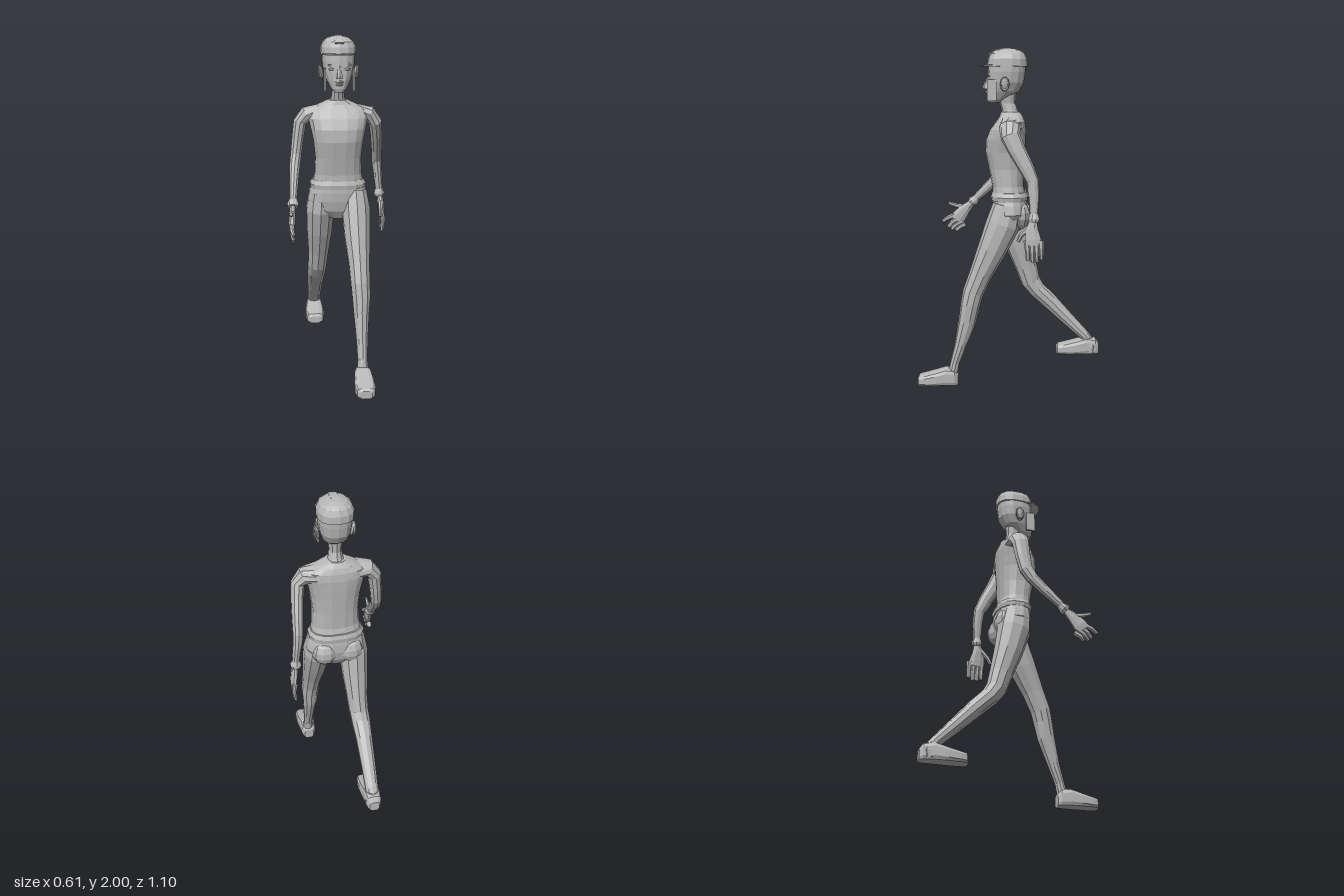
import * as THREE from 'three';

const grey = new THREE.MeshStandardMaterial({ color: 0xb8b8b8, flatShading: true });
grey.name = 'plain grey';
const X = new THREE.Vector3(1, 0, 0), Y = new THREE.Vector3(0, 1, 0), Z = new THREE.Vector3(0, 0, 1);

// Skin over cross-sections [x, y, z, half width, half depth]; power < 1 makes them squarer.
// With an axis the sections stay parallel, otherwise they turn with the path.
function loft(name, sections, { axis = null, sides = 10, power = 1 } = {}) {
  const centers = sections.map(s => new THREE.Vector3(s[0], s[1], s[2]));
  const last = centers.length - 1, pos = [], idx = [];
  const bend = v => Math.sign(v) * Math.pow(Math.abs(v), power);
  centers.forEach((c, i) => {
    const t = axis ? axis.clone()
      : centers[Math.min(i + 1, last)].clone().sub(centers[Math.max(i - 1, 0)]).normalize();
    const side = X.clone().addScaledVector(t, -X.dot(t)).normalize();
    const depth = t.clone().cross(side);
    for (let k = 0; k < sides; k++) {
      const a = (k + 0.5) / sides * Math.PI * 2;
      const p = c.clone().addScaledVector(side, bend(Math.cos(a)) * sections[i][3])
        .addScaledVector(depth, bend(Math.sin(a)) * sections[i][4]);
      pos.push(p.x, p.y, p.z);
    }
  });
  const start = pos.length / 3;
  pos.push(...centers[0].toArray(), ...centers[last].toArray());
  for (let k = 0; k < sides; k++) {
    const n = (k + 1) % sides;
    for (let i = 0; i < last; i++) {
      const a = i * sides + k, b = i * sides + n;
      idx.push(a, b, b + sides, a, b + sides, a + sides);
    }
    idx.push(start, n, k, start + 1, last * sides + k, last * sides + n);
  }
  const g = new THREE.BufferGeometry();
  g.setAttribute('position', new THREE.Float32BufferAttribute(pos, 3));
  g.setIndex(idx);
  return mesh(name, g);
}

function mesh(name, geometry, x = 0, y = 0, z = 0) {
  const flat = geometry.index ? geometry.toNonIndexed() : geometry;
  flat.computeVertexNormals();
  const m = new THREE.Mesh(flat, grey);
  m.name = name;
  m.position.set(x, y, z);
  return m;
}

function part(name, ...children) {
  const g = new THREE.Group();
  g.name = name;
  g.add(...children);
  return g;
}

// Tapered finger between points, thin across x
const finger = (name, points, r = 0.015) => loft(name,
  points.map((p, i) => [...p, r * (1 - 0.22 * i), r * 1.15 * (1 - 0.2 * i)]), { sides: 6 });

function buildHead() {
  const head = part('head',
    loft('neck', [[0, 1.6, -0.01, 0.06, 0.06], [0, 1.64, 0, 0.042, 0.047], [0, 1.68, 0.012, 0.036, 0.046],
      [0, 1.75, 0.015, 0.045, 0.055]], { axis: Y }),
    loft('skull', [[0, 1.685, 0.095, 0.026, 0.03], [0, 1.705, 0.075, 0.046, 0.056], [0, 1.75, 0.04, 0.07, 0.093],
      [0, 1.8, 0.024, 0.087, 0.106], [0, 1.86, 0.018, 0.095, 0.109], [0, 1.92, 0.014, 0.095, 0.108]],
      { axis: Y, sides: 14, power: 0.85 }),
    loft('nose', [[0, 1.765, 0.137, 0.02, 0.02], [0, 1.78, 0.138, 0.017, 0.021], [0, 1.835, 0.118, 0.009, 0.012]],
      { axis: Y, sides: 6 }),
    loft('upperLip', [[-0.03, 1.742, 0.118, 0.005, 0.006], [0, 1.746, 0.134, 0.008, 0.01], [0.03, 1.742, 0.118, 0.005, 0.006]]
      .map(s => [s[0], s[1], s[2], s[4], s[4]]), { axis: new THREE.Vector3(0.999, 0.04, 0).normalize(), sides: 6 }),
    mesh('lowerLip', new THREE.SphereGeometry(1, 8, 5).scale(0.022, 0.008, 0.01), 0, 1.73, 0.127),
    // Cap with brim and centre strip
    loft('cap', [[0, 1.893, 0.015, 0.102, 0.118], [0, 1.935, 0.013, 0.101, 0.115], [0, 1.965, 0.013, 0.087, 0.103],
      [0, 1.985, 0.011, 0.062, 0.077], [0, 1.995, 0.008, 0.03, 0.043]], { axis: Y, sides: 14, power: 0.82 }),
    loft('capStrip', [[0, 1.955, 0.117, 0.026, 0.012], [0, 1.976, 0.09, 0.026, 0.012], [0, 1.99, 0.05, 0.026, 0.01],
      [0, 1.992, 0, 0.024, 0.008], [0, 1.98, -0.05, 0.022, 0.008]], { sides: 8, power: 0.5 }));
  const outline = new THREE.Shape([[-0.1, 0.04], [0.1, 0.04], [0.084, 0.13], [0.056, 0.168], [0.02, 0.18],
    [-0.02, 0.18], [-0.056, 0.168], [-0.084, 0.13]].map(p => new THREE.Vector2(...p)));
  head.add(mesh('brim', new THREE.ExtrudeGeometry(outline, { depth: 0.007, bevelEnabled: false })
    .rotateX(Math.PI / 2), 0, 1.902, 0));
  for (const s of [-1, 1]) {
    const ear = mesh('ear', new THREE.SphereGeometry(1, 8, 6).scale(0.014, 0.042, 0.026), s * 0.099, 1.79, 0.026);
    ear.rotation.z = -s * 0.18;
    const rim = mesh('earRim', new THREE.TorusGeometry(0.026, 0.006, 5, 10).rotateY(Math.PI / 2).scale(1, 1.35, 0.85),
      s * 0.11, 1.792, 0.024);
    head.add(ear, rim,
      mesh('cheekPlate', new THREE.BoxGeometry(0.012, 0.125, 0.055), s * 0.082, 1.757, 0.1),
      mesh('eye', new THREE.SphereGeometry(1, 8, 5).scale(0.021, 0.008, 0.008), s * 0.042, 1.815, 0.118),
      mesh('brow', new THREE.BoxGeometry(0.045, 0.009, 0.012), s * 0.042, 1.838, 0.117));
  }
  return head;
}

function buildBody() {
  const body = part('body',
    loft('torso', [[0, 1.14, 0.002, 0.152, 0.1], [0, 1.2, 0.01, 0.14, 0.093], [0, 1.3, 0.018, 0.136, 0.104],
      [0, 1.4, 0.025, 0.147, 0.117], [0, 1.47, 0.021, 0.162, 0.117], [0, 1.53, 0.008, 0.175, 0.106],
      [0, 1.575, -0.006, 0.168, 0.086], [0, 1.605, -0.01, 0.115, 0.07], [0, 1.632, -0.004, 0.055, 0.056]],
      { axis: Y, sides: 16, power: 0.8 }),
    loft('hem', [[0, 1.115, 0, 0.163, 0.108], [0, 1.14, 0, 0.167, 0.111], [0, 1.165, 0, 0.152, 0.102]],
      { axis: Y, sides: 16, power: 0.8 }),
    loft('pelvis', [[0, 0.93, -0.005, 0.06, 0.06], [0, 0.98, -0.005, 0.15, 0.09], [0, 1.04, -0.005, 0.182, 0.103],
      [0, 1.09, -0.002, 0.172, 0.104], [0, 1.14, 0, 0.153, 0.1]], { axis: Y, sides: 16, power: 0.85 }));
  for (const s of [-1, 1])
    body.add(mesh('buttock', new THREE.SphereGeometry(1, 10, 7).scale(0.078, 0.085, 0.065), s * 0.077, 1.03, -0.06));
  return body;
}

// Foot pointing forward, with its heel at z and its sole at y
function foot(x, y, z, length) {
  const profile = [[0, 0.03, 0.035], [0.08, 0.045, 0.05], [0.3, 0.052, 0.055], [0.55, 0.059, 0.045],
    [0.82, 0.06, 0.035], [0.96, 0.052, 0.031], [1, 0.036, 0.024]];
  return loft('foot', profile.map(([f, w, h]) => [x, y + h, z + f * length, w, h]),
    { axis: Z, sides: 12, power: 0.55 });
}

function buildLegs() {
  return part('legs',
    part('leftLeg',
      loft('trouserLeg', [[0.1, 1.09, 0.01, 0.072, 0.085], [0.105, 0.98, 0.035, 0.086, 0.1], [0.108, 0.83, 0.1, 0.078, 0.086],
        [0.113, 0.68, 0.168, 0.063, 0.067], [0.116, 0.57, 0.213, 0.058, 0.062], [0.12, 0.5, 0.229, 0.056, 0.058],
        [0.119, 0.4, 0.248, 0.047, 0.053], [0.12, 0.25, 0.29, 0.035, 0.036], [0.12, 0.14, 0.325, 0.03, 0.028],
        [0.12, 0.07, 0.34, 0.036, 0.03]]),
      foot(0.118, 0, 0.304, 0.245)),
    part('rightLeg',
      loft('trouserLeg', [[-0.1, 1.09, 0, 0.072, 0.085], [-0.105, 0.98, -0.015, 0.086, 0.1], [-0.108, 0.83, -0.052, 0.078, 0.085],
        [-0.112, 0.69, -0.095, 0.064, 0.068], [-0.118, 0.59, -0.125, 0.06, 0.06], [-0.122, 0.535, -0.165, 0.059, 0.053],
        [-0.124, 0.46, -0.245, 0.052, 0.05], [-0.124, 0.35, -0.355, 0.046, 0.041], [-0.122, 0.25, -0.458, 0.041, 0.032],
        [-0.122, 0.19, -0.5, 0.038, 0.035]]),
      loft('heel', [[-0.122, 0.15, -0.495, 0.05, 0.045], [-0.122, 0.19, -0.5, 0.052, 0.046], [-0.122, 0.235, -0.48, 0.04, 0.032]],
        { axis: Y }),
      foot(-0.122, 0.13, -0.55, 0.266)));
}

function buildArms() {
  const left = part('leftArm',
    loft('sleeve', [[0.11, 1.558, -0.012, 0.045, 0.07], [0.185, 1.545, -0.008, 0.048, 0.062], [0.22, 1.5, -0.012, 0.04, 0.056],
      [0.232, 1.42, -0.05, 0.036, 0.05], [0.243, 1.32, -0.105, 0.033, 0.043], [0.248, 1.245, -0.14, 0.031, 0.036],
      [0.257, 1.16, -0.147, 0.027, 0.032], [0.267, 1.06, -0.147, 0.022, 0.024]]),
    loft('cuff', [[0.266, 1.065, -0.147, 0.023, 0.024], [0.268, 1.035, -0.147, 0.034, 0.033], [0.27, 1.018, -0.146, 0.03, 0.028]]),
    loft('palm', [[0.27, 1.035, -0.146, 0.016, 0.019], [0.275, 0.98, -0.137, 0.021, 0.037], [0.283, 0.92, -0.142, 0.02, 0.05],
      [0.286, 0.885, -0.148, 0.017, 0.05]], { sides: 8 }),
    finger('thumb', [[0.272, 0.985, -0.115], [0.268, 0.94, -0.073], [0.266, 0.905, -0.058]]));
  const right = part('rightArm',
    loft('sleeve', [[-0.11, 1.558, -0.012, 0.045, 0.07], [-0.185, 1.545, -0.008, 0.048, 0.062], [-0.222, 1.5, -0.008, 0.04, 0.054],
      [-0.236, 1.4, 0.002, 0.036, 0.048], [-0.247, 1.31, 0.018, 0.034, 0.042], [-0.256, 1.25, 0.055, 0.032, 0.036],
      [-0.264, 1.18, 0.125, 0.028, 0.032], [-0.273, 1.085, 0.225, 0.022, 0.023]]),
    loft('cuff', [[-0.272, 1.09, 0.218, 0.023, 0.023], [-0.274, 1.068, 0.24, 0.035, 0.033], [-0.275, 1.056, 0.253, 0.03, 0.028]]),
    loft('palm', [[-0.275, 1.065, 0.24, 0.016, 0.018], [-0.28, 1.02, 0.288, 0.02, 0.035], [-0.284, 0.97, 0.33, 0.02, 0.048],
      [-0.284, 0.945, 0.348, 0.017, 0.047]], { sides: 8 }),
    finger('thumb', [[-0.28, 1.03, 0.3], [-0.288, 1.037, 0.35], [-0.29, 1.052, 0.398]]));
  // Four fingers on each hand, index to little
  for (let i = 0; i < 4; i++) {
    const z = -0.108 - i * 0.026, reach = [0.01, 0, 0, 0.016][i];
    left.add(finger('finger', [[0.284, 0.915, z], [0.29, 0.85 + reach, z - 0.004], [0.283, 0.79 + reach, z - 0.006]], 0.0165));
    const y = 0.98 - i * 0.02, zr = 0.365 - i * 0.018;
    const tip = [[0.936, 0.435], [0.9, 0.4], [0.885, 0.38], [0.878, 0.35]][i];
    right.add(finger('finger', [[-0.284, y, zr - 0.02], [-0.286, (y + tip[0]) / 2, (zr + tip[1]) / 2],
      [-0.278, tip[0], tip[1]]], 0.0165));
  }
  return part('arms', left, right);
}

export function createModel() {
  return part('walkingFigure', buildHead(), buildBody(), buildLegs(), buildArms());
}
